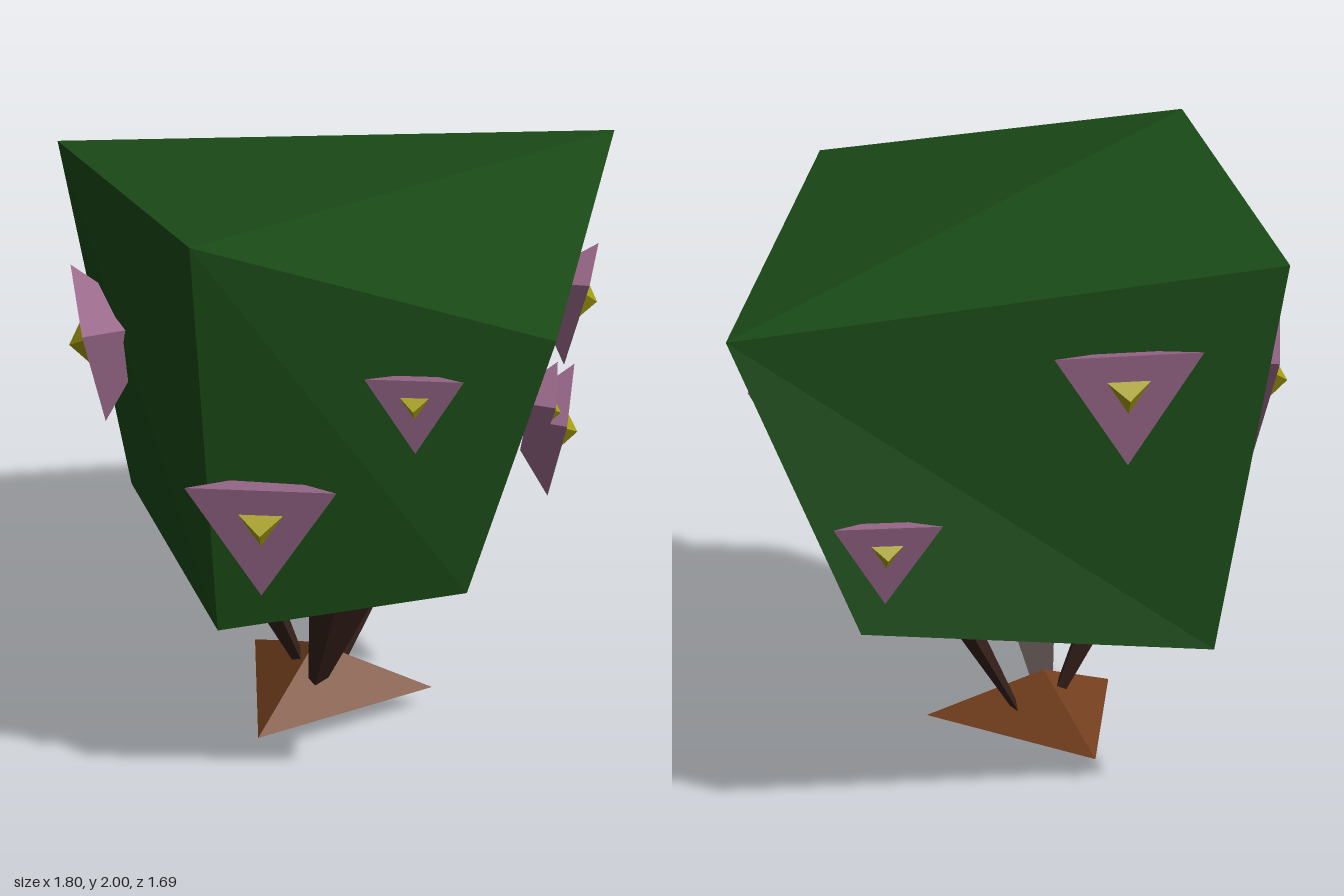
import * as THREE from 'three';
import { ConvexGeometry } from 'three/addons/geometries/ConvexGeometry.js';

const V = (p) => new THREE.Vector3(...p);
const paint = (color) => new THREE.MeshStandardMaterial({ color, flatShading: true });

const leafGreen = paint(0x1a4a17);
const petalPink = paint(0xa06d90);
const pollenYellow = paint(0xa8a010);
const soilBrown = paint(0x74401f);
const barkBrown = paint(0x35201a);

// Flat-faced convex solid around a few corner points
function solid(name, points, material) {
  const mesh = new THREE.Mesh(new ConvexGeometry(points), material);
  mesh.name = name;
  return mesh;
}

// Skewed box of leaves: four top corners, four bottom corners
function makeCanopy() {
  const corners = [
    [-0.9, 1.87, -0.38], [-0.49, 2, 0.57], [0.69, 1.745, 0.75], [0.9, 1.7, -0.73],
    [-0.66, 0.555, -0.47], [-0.4, 0.65, 0.68], [0.4, 0.87, 0.84], [0.46, 0.705, -0.77],
  ];
  const index = [0, 1, 3, 1, 2, 3, 4, 7, 6, 4, 6, 5];
  for (let i = 0; i < 4; i++) {
    const j = (i + 1) % 4;
    index.push(i, i + 4, j + 4, i, j + 4, j);
  }
  const indexed = new THREE.BufferGeometry();
  indexed.setAttribute('position', new THREE.Float32BufferAttribute(corners.flat(), 3));
  indexed.setIndex(index);
  const geometry = indexed.toNonIndexed();
  geometry.computeVertexNormals();
  const mesh = new THREE.Mesh(geometry, leafGreen);
  mesh.name = 'canopy';
  return mesh;
}

// Flower: triangular frustum narrowing into the leaves, with a small pyramid
// in the middle. Corners run top left, bottom, top right as seen from outside.
function makeFlower(corners) {
  const outer = corners.map(V);
  const [a, b, c] = outer;
  const side = a.distanceTo(c);
  const centre = a.clone().add(b).add(c).divideScalar(3);
  const normal = b.clone().sub(a).cross(c.clone().sub(a)).normalize();
  const ring = (scale, shift) =>
    outer.map((p) => centre.clone().lerp(p, scale).addScaledVector(normal, shift * side));
  const tip = centre.clone().addScaledVector(normal, 0.115 * side);

  const flower = new THREE.Group();
  flower.name = 'flower';
  flower.add(
    solid('petals', [...outer, ...ring(0.43, -0.29)], petalPink),
    solid('flowerCentre', [...ring(0.32, -0.01), tip], pollenYellow)
  );
  return flower;
}

export function createModel() {
  const model = new THREE.Group();
  model.name = 'floweringTree';
  model.add(makeCanopy());

  const flowers = [
    // front
    [[-0.51, 1.24, 0.795], [-0.26, 0.8, 0.72], [-0.02, 1.24, 0.84]],
    [[0.07, 1.635, 0.795], [0.235, 1.34, 0.76], [0.39, 1.645, 0.84]],
    // +x side
    [[0.69, 1.47, 0.7], [0.63, 1.19, 0.54], [0.7, 1.47, 0.39]],
    [[0.73, 1.235, 0.4], [0.67, 0.86, 0.18], [0.76, 1.24, -0.01]],
    [[0.81, 1.47, -0.11], [0.73, 1.1, -0.255], [0.845, 1.42, -0.485]],
    // -x side
    [[-0.86, 1.475, -0.27], [-0.75, 1.03, -0.03], [-0.83, 1.475, 0.215]],
    // back
    [[-0.16, 1.66, -0.71], [-0.39, 1.25, -0.6], [-0.64, 1.67, -0.64]],
    [[0.545, 1.1, -0.845], [0.385, 0.8, -0.735], [0.195, 1.1, -0.79]],
  ];
  for (const corners of flowers) model.add(makeFlower(corners));

  // Trunks: three-sided spikes, point down, widening into the canopy
  const trunks = [
    { tip: [-0.1, 0, 0.06], top: [[-0.1, 0.68, 0.4], [0, 0.72, 0.53], [0.2, 0.76, 0.36]] },
    { tip: [-0.05, 0, 0.02], top: [[-0.39, 0.62, 0.08], [-0.27, 0.62, 0.19], [-0.27, 0.63, -0.03]] },
    { tip: [-0.055, 0, 0.03], top: [[0.34, 0.72, -0.25], [0.22, 0.71, -0.15], [0.2, 0.67, -0.37]] },
  ];
  for (const { tip, top } of trunks) {
    const foot = V(tip);
    const head = top.map((p) => foot.clone().lerp(V(p), 1.3));
    model.add(solid('trunk', [foot, ...head], barkBrown));
  }

  // Mound of soil: low three-sided pyramid
  const mound = [[-0.265, 0.08, -0.285], [-0.265, 0.08, 0.37], [0.3, 0.08, 0.04], [-0.077, 0.25, 0.04]];
  model.add(solid('soilMound', mound.map(V), soilBrown));

  return model;
}
